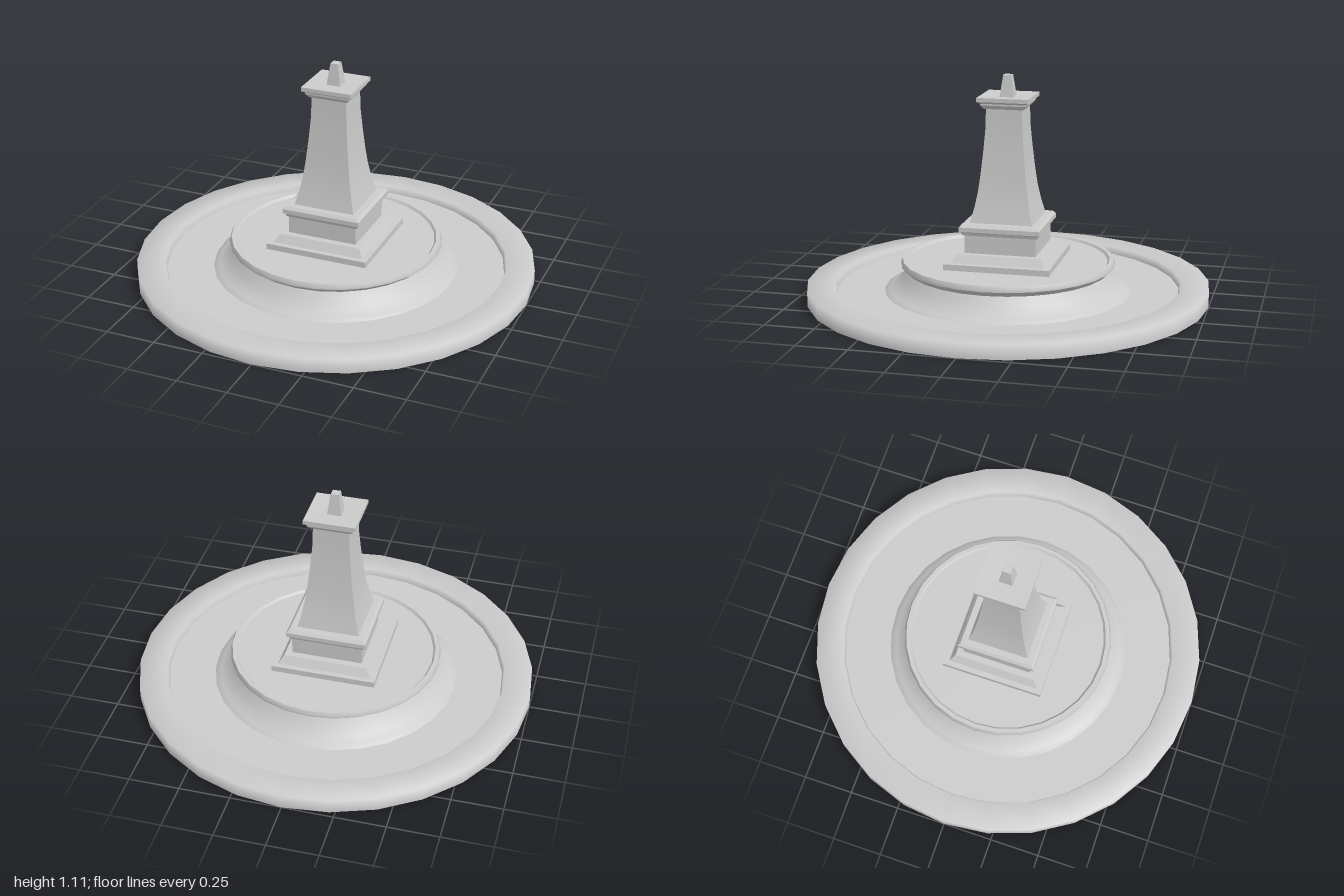
import * as THREE from 'three';
import { toCreasedNormals } from 'three/addons/utils/BufferGeometryUtils.js';

const material = new THREE.MeshStandardMaterial({ color: 0xcccccc });
const sheetMaterial = new THREE.MeshStandardMaterial({ color: 0xcccccc, side: THREE.DoubleSide });
const toPoints = (profile) => profile.map(([r, y]) => new THREE.Vector2(r, y));

// Round part: profile of [radius, height], listed from bottom to top
function round(name, profile, crease, mat = material) {
  let geometry = new THREE.LatheGeometry(toPoints(profile), 28);
  if (crease) geometry = toCreasedNormals(geometry, crease);
  const mesh = new THREE.Mesh(geometry, mat);
  mesh.name = name;
  return mesh;
}

// Square part: profile of [half width, height], swept round four sides
function square(name, profile) {
  const points = toPoints(profile.map(([w, y]) => [w * Math.SQRT2, y]));
  const geometry = new THREE.LatheGeometry(points, 4, Math.PI / 4);
  const mesh = new THREE.Mesh(toCreasedNormals(geometry, 0.35), material);
  mesh.name = name;
  return mesh;
}

export function createModel() {
  const group = new THREE.Group();
  group.name = 'fountainMonument';

  // Shallow basin: softly shaded rim, thin floor and hollow underside
  group.add(round('basinRim', [[1, 0], [1, 0.072], [0.86, 0.072], [0.85, 0.036]], 0, sheetMaterial));
  group.add(round('basinFloor', [[0.86, 0.036], [0, 0.036]]));
  group.add(round('basinUnderside', [[0, 0.03], [0.86, 0.03], [1, 0]], 0.3));

  // Round pedestal: flared skirt, rolled lip and slightly sunken top
  group.add(round('pedestal', [
    [0, 0.027], [0.62, 0.027], [0.615, 0.036], [0.585, 0.048], [0.555, 0.07],
    [0.525, 0.1], [0.5, 0.138], [0.515, 0.15], [0.532, 0.165], [0.532, 0.175],
    [0.524, 0.192], [0.505, 0.192], [0.495, 0.18], [0, 0.18],
  ], 0.7));

  // Stepped square plinth
  group.add(square('plinthSlab', [[0.262, 0.175], [0.262, 0.21], [0, 0.21]]));
  group.add(square('plinthSlope', [[0.235, 0.21], [0.21, 0.25], [0, 0.25]]));
  group.add(square('plinthBlock', [[0.177, 0.25], [0.177, 0.345]]));
  group.add(square('plinthMoulding', [
    [0.17, 0.337], [0.185, 0.34], [0.19, 0.355], [0.2, 0.36],
    [0.2, 0.382], [0.187, 0.397], [0, 0.397],
  ]));

  // Shaft with a gently curved taper
  group.add(square('shaft', [
    [0.155, 0.397], [0.137, 0.47], [0.122, 0.55], [0.112, 0.63],
    [0.1, 0.75], [0.092, 0.85], [0.089, 0.96],
  ]));

  // Cap and small tapered finial
  group.add(square('cap', [
    [0.085, 0.953], [0.098, 0.953], [0.113, 0.972], [0.113, 0.98],
    [0.128, 0.99], [0.128, 1.01], [0.03, 1.003], [0, 1.003],
  ]));
  group.add(square('finial', [[0.035, 1], [0.02, 1.11], [0, 1.11]]));

  return group;
}
